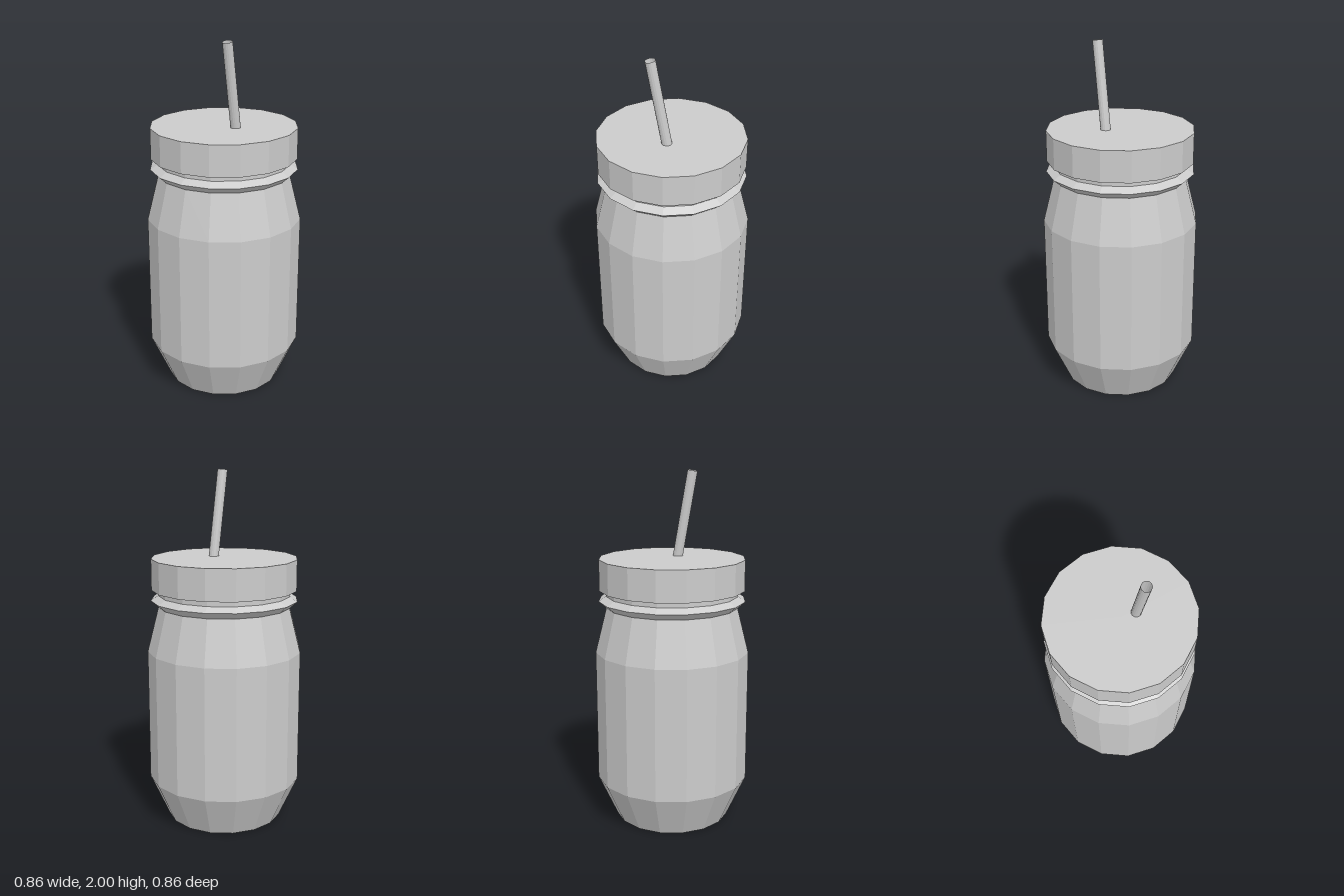
import * as THREE from 'three';

const SIDES = 16;
const TURN = THREE.MathUtils.degToRad(10); // facet orientation shared by jar and lid

export function createModel() {
  const group = new THREE.Group();
  const material = new THREE.MeshStandardMaterial({ color: 0xcccccc, flatShading: true });
  const thin = material.clone();
  thin.side = THREE.DoubleSide;

  const add = (name, geometry, mat = material) => {
    const mesh = new THREE.Mesh(geometry, mat);
    mesh.name = name;
    group.add(mesh);
    return mesh;
  };

  // Faceted solid of revolution from [radius, height] pairs, bottom to top
  const turned = (profile) =>
    new THREE.LatheGeometry(profile.map(([r, y]) => new THREE.Vector2(r, y)), SIDES, TURN);

  // Jar: tapered base, straight wall, shoulder, and neck
  add('jar', turned([[0, 0], [0.33, 0], [0.438, 0.24], [0.438, 0.995], [0.374, 1.245], [0.374, 1.36]]));

  // Pointed bead around the neck
  add('neckRing', turned([[0.37, 1.245], [0.416, 1.286], [0.37, 1.316]]));

  // Screw lid
  add('lid', turned([[0, 1.345], [0.411, 1.345], [0.411, 1.52], [0, 1.52]]));

  // Open drinking straw leaning out of the lid
  const top = new THREE.Vector3(-0.081, 1.995, 0.101);
  const entry = new THREE.Vector3(0, 1.52, 0.087);
  const foot = top.clone().lerp(entry, 1.8);
  const axis = top.clone().sub(foot);
  const straw = add('straw',
    new THREE.CylinderGeometry(0.028, 0.028, axis.length(), SIDES, 1, true), thin);
  straw.position.copy(top).add(foot).multiplyScalar(0.5);
  straw.quaternion.setFromUnitVectors(new THREE.Vector3(0, 1, 0), axis.normalize());

  return group;
}
